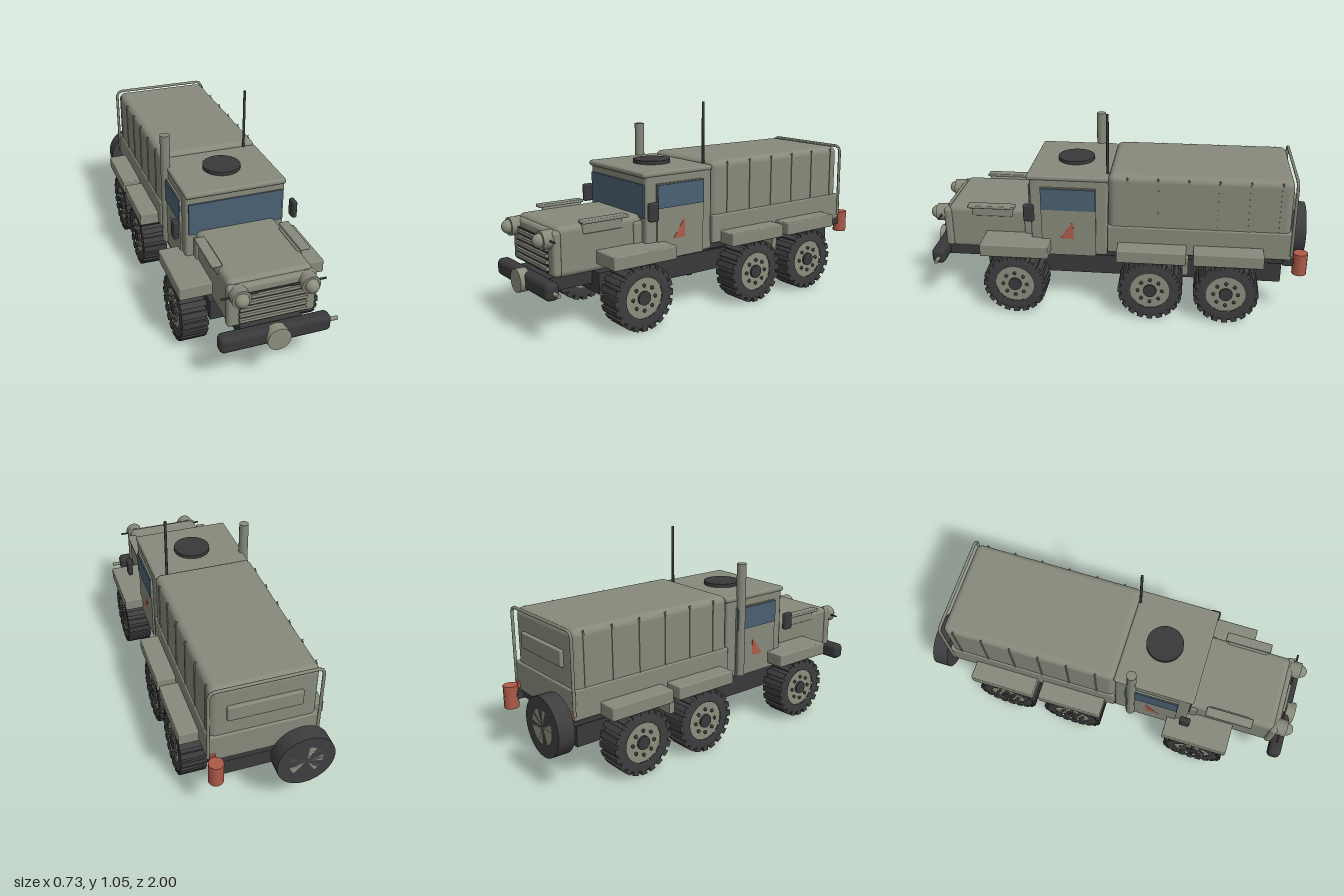
import * as THREE from 'three';
import { RoundedBoxGeometry } from 'three/addons/geometries/RoundedBoxGeometry.js';

const mat = (name, color) => new THREE.MeshStandardMaterial({ name, color });

export function createModel() {
  const olive = mat('olive paint', 0x86897a);
  const rimPaint = mat('rim paint', 0x8b8e7c);
  const rubber = mat('rubber', 0x3e3e40);
  const dark = mat('dark metal', 0x39393b);
  const glass = mat('glass', 0x4a6072);
  const red = mat('red', 0xad5a48);

  const truck = new THREE.Group();
  truck.name = 'truck';

  const put = (name, geo, m, x, y, z, parent = truck) => {
    const mesh = new THREE.Mesh(geo, m);
    mesh.name = name;
    mesh.position.set(x, y, z);
    parent.add(mesh);
    return mesh;
  };
  // Boxes are given by their extents: [x0, x1], [y0, y1], [z0, z1]
  const box = (name, m, [x0, x1], [y0, y1], [z0, z1], r = 0) => {
    const s = [x1 - x0, y1 - y0, z1 - z0];
    const geo = r ? new RoundedBoxGeometry(...s, 4, r) : new THREE.BoxGeometry(...s);
    return put(name, geo, m, (x0 + x1) / 2, (y0 + y1) / 2, (z0 + z1) / 2);
  };
  const cyl = (name, m, r, len, axis, x, y, z, parent = truck, seg = 28) => {
    const geo = new THREE.CylinderGeometry(r, r, len, seg);
    if (axis === 'x') geo.rotateZ(Math.PI / 2);
    if (axis === 'z') geo.rotateX(Math.PI / 2);
    return put(name, geo, m, x, y, z, parent);
  };
  const mirrored = (fn) => [1, -1].forEach(fn);
  const span = (side, a, b) => (side > 0 ? [a, b] : [-b, -a]);

  // Chassis and bed frame
  box('chassis', dark, [-0.215, 0.215], [0.18, 0.285], [-0.85, 0.68]);
  box('bedFrame', dark, [-0.25, 0.25], [0.305, 0.345], [-0.885, 0.05]);
  box('chassisRiser', dark, [-0.2, 0.2], [0.28, 0.32], [-0.84, 0.6]);
  const axles = [0.515, -0.185, -0.57];

  // Wheels: tyre ring profile, tread blocks, rim, hub and bolts
  const tyreProfile = [
    [0.1, -0.062], [0.14, -0.065], [0.155, -0.055], [0.155, 0.055], [0.14, 0.065], [0.1, 0.062],
  ].map(([r, y]) => new THREE.Vector2(r, y));
  const tyreGeo = new THREE.LatheGeometry(tyreProfile, 36);
  tyreGeo.rotateZ(-Math.PI / 2);
  const makeWheel = (side, z) => {
    const wheel = new THREE.Group();
    wheel.name = 'wheel';
    put('tyre', tyreGeo, rubber, 0, 0, 0, wheel);
    const blocks = 20;
    for (let i = 0; i < blocks; i++) {
      const a = (i / blocks) * Math.PI * 2;
      const b = put('treadBlock', new THREE.BoxGeometry(0.13, 0.024, 0.03), rubber,
        0, Math.cos(a) * 0.152, Math.sin(a) * 0.152, wheel);
      b.rotation.x = a;
    }
    cyl('rim', rimPaint, 0.102, 0.112, 'x', 0, 0, 0, wheel);
    cyl('hub', dark, 0.034, 0.135, 'x', 0, 0, 0, wheel);
    for (let i = 0; i < 8; i++) {
      const a = (i / 8) * Math.PI * 2;
      put('bolt', new THREE.SphereGeometry(0.009, 10, 8), dark,
        0.061, Math.cos(a) * 0.062, Math.sin(a) * 0.062, wheel);
    }
    wheel.position.set(side * 0.286, 0.165, z);
    if (side < 0) wheel.rotation.y = Math.PI;
    truck.add(wheel);
  };
  for (const z of axles) {
    cyl('axle', dark, 0.022, 0.46, 'x', 0, 0.165, z);
    mirrored((s) => {
      makeWheel(s, z);
      const zc = z === 0.515 ? 0.51 : z - 0.003;
      box('fender', olive, span(s, z > 0 ? 0.2 : 0.25, 0.365), [0.328, 0.395], [zc - 0.175, zc + 0.175], 0.006);
    });
  }
  box('fenderBracket', olive, [-0.3, 0.3], [0.24, 0.33], [-0.375, -0.345]);

  // Cab with roof, windows and doors
  box('cab', olive, [-0.255, 0.255], [0.305, 0.725], [0.04, 0.437], 0.015);
  box('roof', olive, [-0.257, 0.257], [0.712, 0.74], [0.035, 0.452], 0.012);
  box('windscreen', glass, [-0.24, 0.24], [0.515, 0.68], [0.436, 0.445]);
  cyl('roofHatch', dark, 0.095, 0.025, 'y', 0, 0.746, 0.23);
  mirrored((s) => {
    box('door', olive, span(s, 0.25, 0.264), [0.305, 0.68], [0.1, 0.38]);
    box('sideWindow', glass, span(s, 0.262, 0.27), [0.56, 0.675], [0.1, 0.378]);
    const mark = new THREE.Shape([[0.215, 0.4], [0.285, 0.4], [0.215, 0.5]].map(([z, y]) => new THREE.Vector2(-z, y)));
    const tri = new THREE.ExtrudeGeometry(mark, { depth: 0.002, bevelEnabled: false });
    tri.rotateY(Math.PI / 2);
    put('doorMark', tri, red, s * 0.264 - 0.001, 0, 0);
    box('mirror', dark, span(s, 0.293, 0.32), [0.513, 0.605], [0.405, 0.46], 0.01);
  });

  // Exhaust stack and antenna
  cyl('exhaustStack', olive, 0.025, 0.6, 'y', -0.26, 0.61, 0.13, truck, 12);
  cyl('antenna', dark, 0.007, 0.33, 'y', 0.19, 0.885, 0.045, truck, 8);

  // Bonnet and grille
  box('bonnet', olive, [-0.205, 0.205], [0.29, 0.53], [0.42, 0.885], 0.03);
  box('bonnetBase', olive, [-0.215, 0.215], [0.3, 0.5], [0.42, 0.48], 0.01);
  box('grilleSurround', olive, [-0.214, 0.214], [0.3, 0.515], [0.865, 0.908], 0.018);
  box('grilleBack', dark, [-0.16, 0.16], [0.315, 0.475], [0.9, 0.912]);
  for (let i = 0; i < 5; i++) {
    const y = 0.335 + i * 0.031;
    box('grilleSlat', olive, [-0.162, 0.162], [y - 0.008, y + 0.008], [0.905, 0.925]);
  }
  mirrored((s) => {
    box('bonnetStep', olive, span(s, 0.19, 0.24), [0.535, 0.551], [0.525, 0.77], 0.005);
    box('bonnetStepMount', olive, span(s, 0.18, 0.21), [0.48, 0.538], [0.54, 0.755], 0.01);
    cyl('headlightHousing', olive, 0.045, 0.06, 'z', s * 0.165, 0.475, 0.92);
    const lens = put('headlightLens', new THREE.SphereGeometry(0.034, 20, 12), rimPaint, s * 0.165, 0.475, 0.952);
    lens.name = 'headlightLens';
    cyl('headlightRod', dark, 0.005, 0.17, 'x', s * 0.165, 0.477, 0.92, truck, 8);
  });

  // Bumper
  box('bumper', dark, [-0.27, 0.27], [0.215, 0.3], [0.908, 0.978], 0.025);
  box('bumperMount', dark, [-0.15, 0.15], [0.22, 0.285], [0.67, 0.92]);
  cyl('bumperDisc', rimPaint, 0.057, 0.05, 'z', 0, 0.255, 0.975);
  cyl('bumperPin', rimPaint, 0.01, 0.06, 'x', 0.285, 0.252, 0.94, truck, 12);

  // Cargo body with canvas cover
  box('cargoBed', olive, [-0.268, 0.268], [0.335, 0.482], [-0.888, 0.04], 0.008);
  box('canopy', olive, [-0.26, 0.26], [0.42, 0.757], [-0.878, 0.038], 0.035);
  for (let i = 0; i < 6; i++) {
    const z = -0.06 - i * 0.152;
    mirrored((s) => {
      box('canopyRib', olive, span(s, 0.255, 0.264), [0.482, 0.735], [z - 0.004, z + 0.004]);
      const peg = put('canopyPeg', new THREE.ConeGeometry(0.014, 0.035, 6), olive, s * 0.252, 0.738, z);
      peg.rotation.z = -s * 0.7;
    });
  }

  // Rear rail and panel
  const railPath = new THREE.CurvePath();
  const railPoints = [[-0.268, 0.36], [-0.268, 0.74], [-0.25, 0.757], [0.25, 0.757], [0.268, 0.74], [0.268, 0.36]]
    .map(([x, y]) => new THREE.Vector3(x, y, -0.888));
  railPoints.slice(1).forEach((p, i) => railPath.add(new THREE.LineCurve3(railPoints[i], p)));
  put('rearRail', new THREE.TubeGeometry(railPath, 60, 0.008, 8), olive, 0, 0, 0);
  box('rearPanel', olive, [-0.18, 0.18], [0.57, 0.65], [-0.896, -0.87], 0.006);

  // Spare wheel, canister and tail lights
  cyl('spareTyre', rubber, 0.145, 0.082, 'z', -0.17, 0.31, -0.959, truck, 32);
  cyl('spareRim', rimPaint, 0.085, 0.09, 'z', -0.17, 0.31, -0.955);
  cyl('spareMount', dark, 0.03, 0.1, 'z', -0.17, 0.3, -0.88);
  cyl('canister', red, 0.037, 0.115, 'y', 0.245, 0.313, -0.936, truck, 12);
  box('canisterMount', dark, [0.21, 0.26], [0.3, 0.34], [-0.92, -0.85]);
  mirrored((s) => box('tailLight', red, span(s, 0.235, 0.262), [0.345, 0.38], [-0.9, -0.88]));

  return truck;
}
